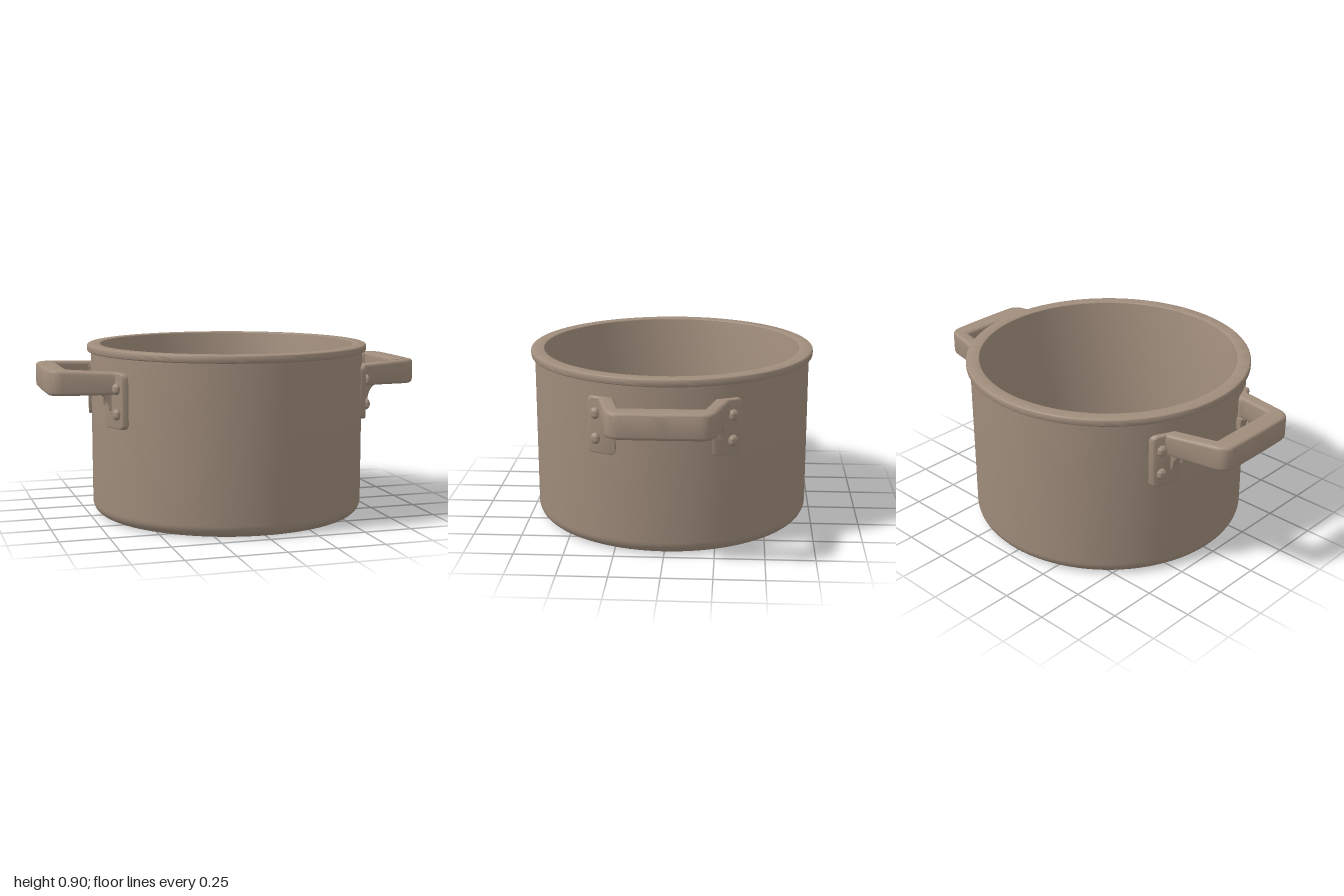
import * as THREE from 'three';
import { toCreasedNormals } from 'three/addons/utils/BufferGeometryUtils.js';

const metal = new THREE.MeshStandardMaterial({ color: 0xa08d7c });
metal.name = 'warm metal';

function part(name, geometry, parent, crease = 0.6) {
  const mesh = new THREE.Mesh(toCreasedNormals(geometry, crease), metal);
  mesh.name = name;
  parent.add(mesh);
  return mesh;
}

// Move every vertex by a rule
function warp(geometry, rule) {
  const p = geometry.attributes.position;
  const v = new THREE.Vector3();
  for (let i = 0; i < p.count; i++) {
    rule(v.fromBufferAttribute(p, i));
    p.setXYZ(i, v.x, v.y, v.z);
  }
  return geometry;
}

// Points of a quarter arc in the lathe profile
function arc(cx, cy, r, from, to, steps = 8) {
  return Array.from({ length: steps + 1 }, (_, i) => {
    const a = from + ((to - from) * i) / steps;
    return new THREE.Vector2(cx + r * Math.cos(a), cy + r * Math.sin(a));
  });
}

function roundedRect(w, h, r) {
  const s = new THREE.Shape();
  s.absarc(w / 2 - r, h / 2 - r, r, 0, Math.PI / 2);
  s.absarc(-w / 2 + r, h / 2 - r, r, Math.PI / 2, Math.PI);
  s.absarc(-w / 2 + r, -h / 2 + r, r, Math.PI, Math.PI * 1.5);
  s.absarc(w / 2 - r, -h / 2 + r, r, Math.PI * 1.5, Math.PI * 2);
  return s;
}

// Vessel: rounded base, straight wall, rolled rim, hollow inside
function potBody() {
  const H = Math.PI / 2;
  const profile = [
    new THREE.Vector2(0, 0),
    ...arc(0.66, 0.065, 0.065, -H, 0),
    new THREE.Vector2(0.725, 0.865),
    ...arc(0.735, 0.875, 0.01, -H, 0, 4),
    ...arc(0.735, 0.895, 0.01, 0, H, 4),
    ...arc(0.679, 0.901, 0.004, H, 2 * H, 3),
    ...arc(0.625, 0.09, 0.05, 0, -H),
    new THREE.Vector2(0, 0.04),
  ];
  return new THREE.LatheGeometry(profile, 96);
}

// U-shaped grip, outlined from above and extruded downwards
function grip() {
  const s = new THREE.Shape();
  s.moveTo(0.66, 0.322);
  s.lineTo(0.93, 0.263);
  s.quadraticCurveTo(0.99, 0.25, 0.997, 0.195);
  s.quadraticCurveTo(1.003, 0, 0.997, -0.195);
  s.quadraticCurveTo(0.99, -0.25, 0.93, -0.263);
  s.lineTo(0.66, -0.322);
  s.lineTo(0.66, -0.247);
  s.lineTo(0.893, -0.2);
  s.lineTo(0.893, 0.2);
  s.lineTo(0.66, 0.247);
  const b = 0.018;
  const g = new THREE.ExtrudeGeometry(s, {
    depth: 0.13 - 2 * b, bevelThickness: b, bevelSize: b, bevelOffset: -b, bevelSegments: 4, curveSegments: 8,
  });
  g.rotateX(Math.PI / 2).translate(0, 0.808 - b, 0);
  // arms get slightly shallower towards the wall
  return warp(g, (v) => {
    const t = Math.min(1, Math.max(0, (0.9 - v.x) / 0.24));
    v.y = 0.743 + (v.y - 0.743) * (1 - 0.14 * t) - 0.004 * t;
  });
}

// Mounting plate bent around the wall
function plate(side) {
  const b = 0.008;
  const g = new THREE.ExtrudeGeometry(roundedRect(0.14, 0.285, 0.028), {
    depth: 0.016, bevelThickness: b, bevelSize: b, bevelOffset: -b, bevelSegments: 3, curveSegments: 6,
  });
  g.rotateY(Math.PI / 2).translate(0, 0.653, 0.305 * side);
  return warp(g, (v) => {
    v.x = Math.sqrt((0.726 + v.x) ** 2 - v.z ** 2);
  });
}

// Curved web under the arm where it meets the plate
function web(side) {
  const s = new THREE.Shape();
  s.moveTo(0.67, 0.72);
  s.lineTo(0.67, 0.6);
  s.lineTo(0.7, 0.6);
  s.quadraticCurveTo(0.705, 0.685, 0.78, 0.695);
  s.lineTo(0.78, 0.72);
  const b = 0.006;
  const g = new THREE.ExtrudeGeometry(s, {
    depth: 0.036, bevelThickness: b, bevelSize: b, bevelOffset: -b, bevelSegments: 2, curveSegments: 8,
  });
  return g.translate(0, 0, 0.268 * side - 0.018);
}

function createHandle(name) {
  const handle = new THREE.Group();
  handle.name = name;
  part('grip', grip(), handle);
  for (const side of [1, -1]) {
    part('mountingPlate', plate(side), handle);
    part('armWeb', web(side), handle);
    // small tab beside the inner end of the arm
    const tab = part('armTab', new THREE.BoxGeometry(0.04, 0.055, 0.022), handle);
    tab.position.set(0.7, 0.655, 0.23 * side);
    // domed rivets
    const angle = Math.asin(0.335 / 0.75);
    for (const y of [0.715, 0.587]) {
      const rivet = part('rivet', new THREE.SphereGeometry(0.026, 20, 12), handle, 1);
      rivet.scale.set(0.75, 1.12, 1);
      rivet.position.set(0.752 * Math.cos(angle), y, 0.752 * Math.sin(angle) * side);
      rivet.rotation.y = -angle * side;
    }
  }
  return handle;
}

export function createModel() {
  const pot = new THREE.Group();
  pot.name = 'cookingPot';
  part('potBody', potBody(), pot);
  const left = createHandle('leftHandle');
  const right = createHandle('rightHandle');
  right.rotation.y = Math.PI;
  pot.add(left, right);
  return pot;
}
